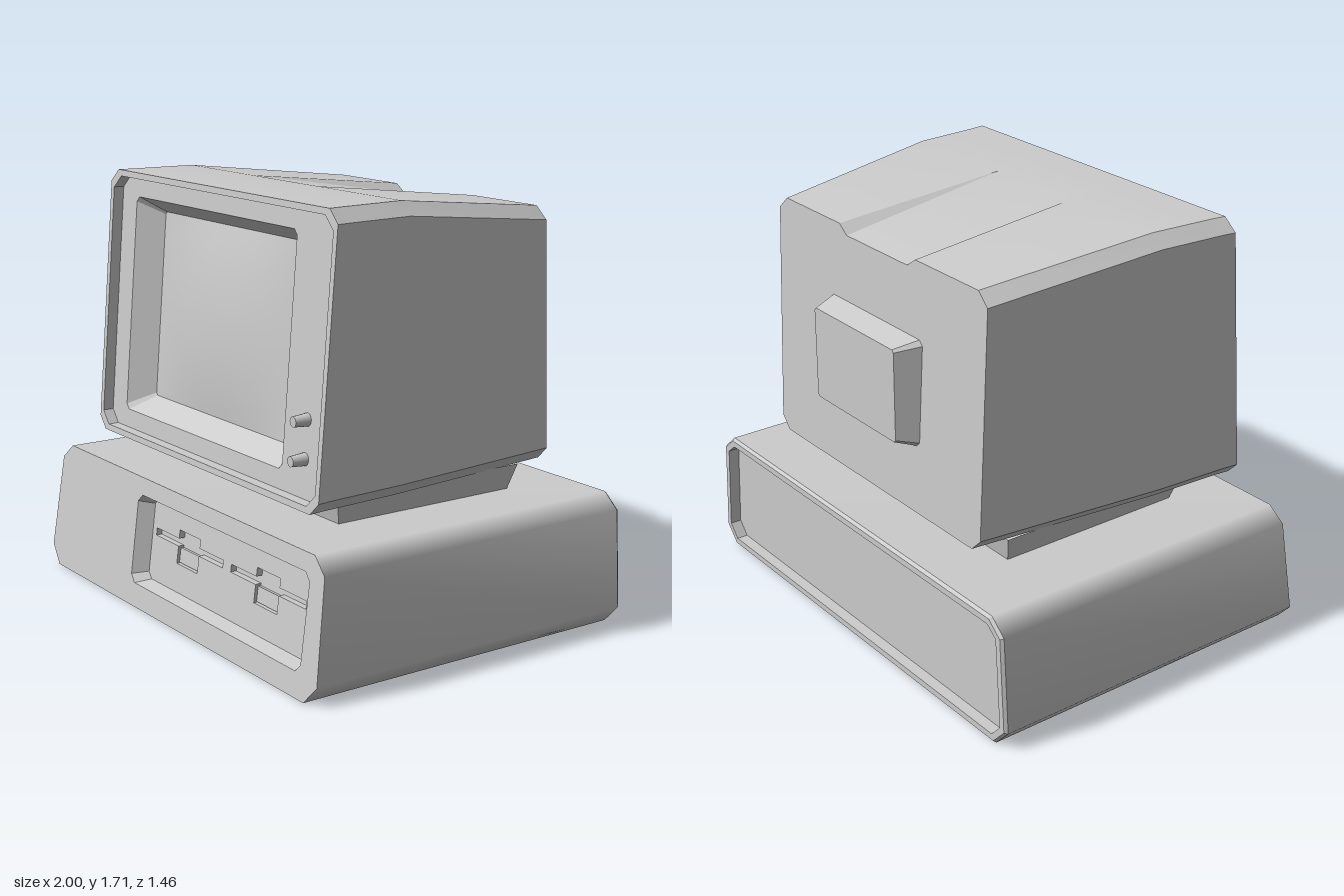
import * as THREE from 'three';
import { mergeGeometries, toCreasedNormals } from 'three/addons/utils/BufferGeometryUtils.js';

const grey = new THREE.MeshStandardMaterial({ color: 0xcccccc });
const CX = 0.0175; // the monitor sits slightly off centre

// Slanted planes: z as a function of height
const caseFront = y => 0.73 - 0.132 * y;
const panelZ = y => caseFront(y) - 0.06;
const slotZ = y => panelZ(y) - 0.025;
const monFront = y => 0.59 - 0.083 * (y - 0.63);
const bezelZ = y => monFront(y) - 0.045;
const glassZ = y => bezelZ(y) - 0.09;
const monBack = y => -0.595 + 0.04 * (y - 0.63);
const flat = z => () => z;

// Place an outline of [x, y] points on a plane given by z(y)
const ring = (pts, zf) => pts.map(([x, y]) => [x, y, zf(y)]);

// Rectangle with chamfered corners, counter-clockwise
const rect = (x0, x1, y0, y1, c) => [
  [x0 + c, y0], [x1 - c, y0], [x1, y0 + c], [x1, y1 - c],
  [x1 - c, y1], [x0 + c, y1], [x0, y1 - c], [x0, y0 + c]];

// Skin between successive rings; rings run back to front for an outer wall
function loft(rings, smooth = false) {
  const n = rings[0].length, index = [];
  for (let r = 0; r < rings.length - 1; r++) {
    for (let i = 0; i < n; i++) {
      const j = (i + 1) % n, a = r * n, b = a + n;
      index.push(a + i, a + j, b + j, a + i, b + j, b + i);
    }
  }
  let g = new THREE.BufferGeometry();
  g.setAttribute('position', new THREE.Float32BufferAttribute(rings.flat(2), 3));
  g.setIndex(index);
  if (!smooth) return toCreasedNormals(g.toNonIndexed(), 0.3);
  g.computeVertexNormals();
  return g.toNonIndexed();
}

// Flat panel with holes on the plane z(y); back = true faces it to -z
function face(pts, zf, holes = [], back = false) {
  const vec = p => p.map(([x, y]) => new THREE.Vector2(x, y));
  const shape = new THREE.Shape(vec(pts));
  holes.forEach(h => shape.holes.push(new THREE.Path(vec(h))));
  let g = new THREE.ShapeGeometry(shape);
  g.deleteAttribute('uv');
  const p = g.attributes.position;
  for (let i = 0; i < p.count; i++) p.setZ(i, zf(p.getY(i)));
  if (back) g.setIndex(Array.from(g.index.array).reverse());
  g = g.toNonIndexed();
  g.computeVertexNormals();
  return g;
}

function add(parent, name, geometries) {
  const list = [].concat(geometries);
  const mesh = new THREE.Mesh(list.length > 1 ? mergeGeometries(list) : list[0], grey);
  mesh.name = name;
  parent.add(mesh);
  return mesh;
}

// Computer case outline, inset by i
function caseOutline(i) {
  const right = [[0.93 - 0.4 * i, 0.005 + i], [1 - i, 0.08 + 0.4 * i],
    [0.975 - i, 0.47 - 0.4 * i], [0.905 - 0.4 * i, 0.53 - i]];
  return [...right, ...right.map(([x, y]) => [-x, y]).reverse()];
}

// Monitor outline with an optional dip in the middle of the top
function monitorOutline(hw, bottom, top, dip) {
  const right = [[hw - 0.05, bottom], [hw, bottom + 0.05], [hw, top - 0.05],
    [hw - 0.055, top], [0.25, top], [0.2, top - dip]];
  return [...right, ...right.map(([x, y]) => [-x, y]).reverse()].map(([x, y]) => [x + CX, y]);
}

// Cross-shaped drive opening: a long slot crossed by a finger notch
function slotOutline(cx) {
  const q = 0.25, w = 0.077;
  return [[-w, 0.225], [w, 0.225], [w, 0.295], [q, 0.295], [q, 0.325], [w, 0.325],
    [w, 0.36], [-w, 0.36], [-w, 0.325], [-q, 0.325], [-q, 0.295], [-w, 0.295]]
    .map(([x, y]) => [x + cx, y]);
}

function buildComputer() {
  const g = new THREE.Group();
  g.name = 'computer';
  const outer = caseOutline(0), lip = caseOutline(0.01), inner = caseOutline(0.035);
  const opening = rect(-0.32, 0.89, 0.1, 0.46, 0.03);
  const panel = rect(-0.283, 0.857, 0.113, 0.443, 0.025);

  // Shell, back lip and front with the drive bay opening
  add(g, 'caseShell', [
    loft([ring(outer, flat(-0.72)), ring(outer, caseFront)], true),
    loft([ring(lip, flat(-0.732)), ring(outer, flat(-0.72))]),
    loft([ring(inner, flat(-0.732)), ring(lip, flat(-0.732))]),
    face(outer, caseFront, [opening])]);
  add(g, 'backPanel', [
    loft([ring(inner, flat(-0.685)), ring(inner, flat(-0.732))]),
    face(inner, flat(-0.685), [], true)]);

  // Recessed drive bay with two disk slots
  const slots = [-0.003, 0.555];
  add(g, 'driveBay', [
    loft([ring(opening, caseFront), ring(panel, panelZ)]),
    face(panel, panelZ, slots.map(slotOutline))]);
  slots.forEach(cx => {
    const o = slotOutline(cx);
    add(g, 'diskSlot', [loft([ring(o, panelZ), ring(o, slotZ)]), face(o, slotZ)]);
    const latch = add(g, 'driveLatch', new THREE.BoxGeometry(0.15, 0.06, 0.016));
    latch.position.set(cx, 0.257, slotZ(0.257) + 0.006);
    latch.rotation.x = -0.13;
  });
  return g;
}

function buildMonitor() {
  const g = new THREE.Group();
  g.name = 'monitor';
  const back = monitorOutline(0.685, 0.63, 1.635, 0.035);
  const middle = monitorOutline(0.775, 0.63, 1.715, 0);
  const front = monitorOutline(0.795, 0.63, 1.715, 0);
  const rimOuter = monitorOutline(0.803, 0.63, 1.715, 0);
  const rim = monitorOutline(0.778, 0.655, 1.69, 0);
  const opening = rect(-0.645, 0.515, 0.73, 1.61, 0.02);
  const glass = rect(-0.56, 0.43, 0.79, 1.55, 0.01);

  // Housing tapering to the back, with a raised front rim
  add(g, 'housing', [
    loft([ring(back, monBack), ring(middle, y => 0.2 - 0.03 * (y - 0.63)),
      ring(front, y => monFront(y) - 0.06), ring(rimOuter, monFront)]),
    loft([ring(rimOuter, monFront), ring(rim, monFront)]),
    face(back, monBack, [], true)]);
  add(g, 'bezel', [
    loft([ring(rim, monFront), ring(rim, bezelZ)]),
    face(rim, bezelZ, [opening]),
    loft([ring(opening, bezelZ), ring(glass, glassZ)])]);

  // Slightly bulging screen
  const s = new THREE.PlaneGeometry(0.99, 0.76, 16, 12);
  const p = s.attributes.position;
  for (let i = 0; i < p.count; i++) {
    const u = p.getX(i) / 0.495, v = p.getY(i) / 0.38, y = p.getY(i) + 1.17;
    p.setXYZ(i, p.getX(i) - 0.065, y, glassZ(y) + 0.035 * (1 - u * u) * (1 - v * v));
  }
  s.computeVertexNormals();
  add(g, 'screen', s);

  // Control knobs
  for (const y of [0.8, 0.945]) {
    const k = add(g, 'knob', new THREE.CylinderGeometry(0.02, 0.026, 0.07, 12));
    k.rotation.x = Math.PI / 2;
    k.position.set(0.655, y, bezelZ(y) + 0.028);
  }

  // Bulge on the back
  const boxBack = rect(-0.24, 0.295, 0.935, 1.31, 0.01);
  const boxBase = rect(-0.29, 0.33, 0.9, 1.338, 0.02);
  add(g, 'rearBulge', [
    loft([ring(boxBack, flat(-0.665)), ring(boxBase, flat(-0.56))]),
    face(boxBack, flat(-0.665), [], true)]);

  // Two runners under the monitor
  const foot = (y, x0, x1, z0, z1) => [[x0, y, z1], [x1, y, z1], [x1, y, z0], [x0, y, z0]];
  for (const side of [-1, 1]) {
    const c = CX + side * 0.5025;
    add(g, 'foot', loft([
      foot(0.525, c - 0.135, c + 0.135, -0.43, 0.38),
      foot(0.635, c - 0.17, c + 0.17, -0.455, 0.41)]));
  }
  return g;
}

export function createModel() {
  const model = new THREE.Group();
  model.name = 'desktopComputer';
  model.add(buildComputer(), buildMonitor());
  return model;
}
